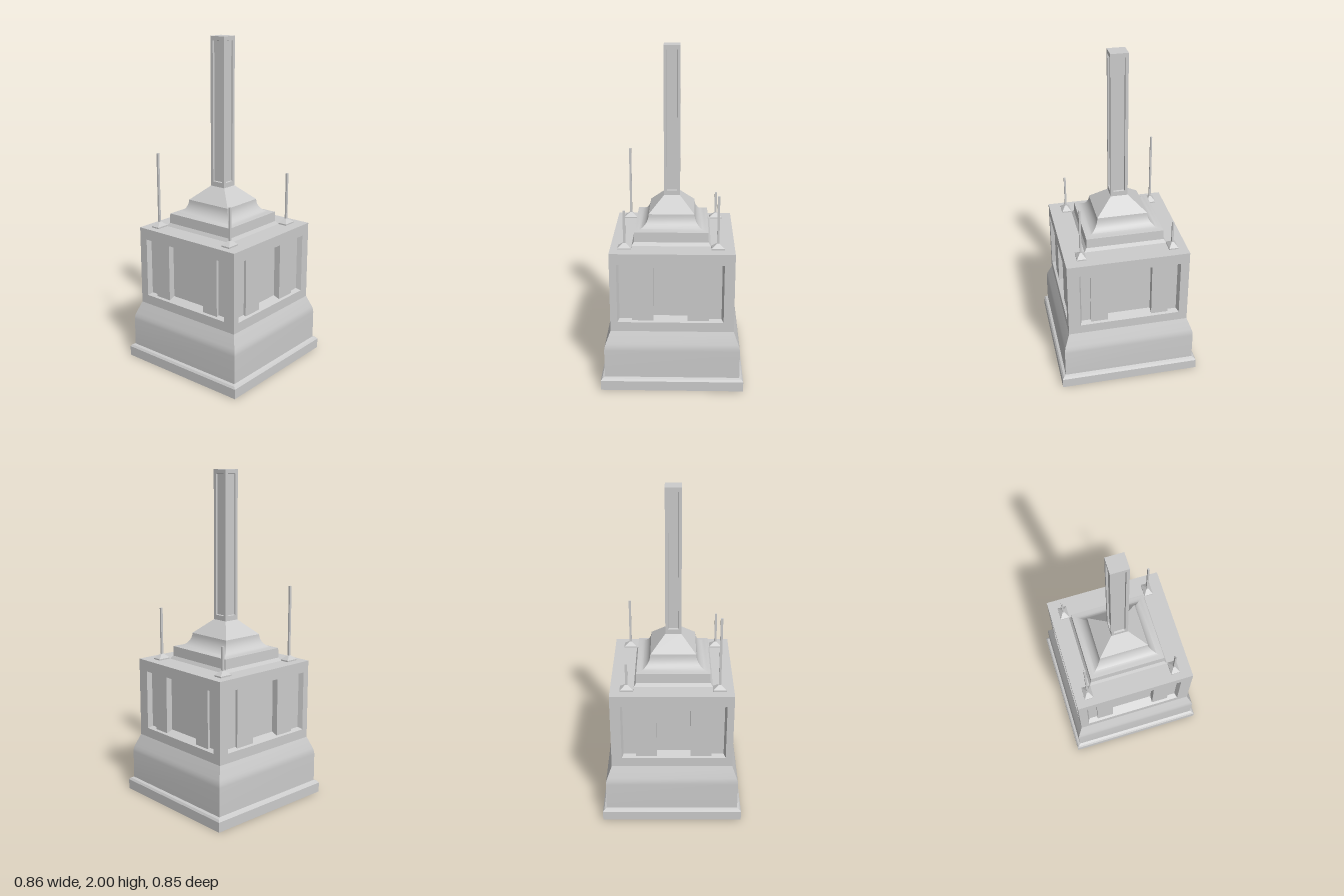
import * as THREE from 'three';
import { toCreasedNormals } from 'three/addons/utils/BufferGeometryUtils.js';

const material = new THREE.MeshStandardMaterial({ color: 0xcccccc });

function addMesh(parent, name, geometry) {
  const mesh = new THREE.Mesh(geometry, material);
  mesh.name = name;
  parent.add(mesh);
  return mesh;
}

// Skin over rectangular rings [halfX, halfZ, y]; rising rings face outward, falling rings face inward
function loft(rings) {
  const corners = [[1, 1], [1, -1], [-1, -1], [-1, 1]];
  const at = ([hx, hz, y], i) => [corners[i % 4][0] * hx, y, corners[i % 4][1] * hz];
  const pos = [];
  for (let r = 0; r < rings.length - 1; r++) {
    const lo = rings[r], hi = rings[r + 1];
    for (let i = 0; i < 4; i++) {
      const a = at(lo, i), b = at(lo, i + 1), c = at(hi, i + 1), d = at(hi, i);
      if (lo[0] > 0) pos.push(...a, ...b, ...c);
      if (hi[0] > 0) pos.push(...a, ...c, ...d);
      // A ring of size zero closes an end
    }
  }
  const g = new THREE.BufferGeometry();
  g.setAttribute('position', new THREE.Float32BufferAttribute(pos, 3));
  g.computeVertexNormals();
  return toCreasedNormals(g, 0.5);
}

function rectPath(Type, x0, x1, y0, y1) {
  const p = new Type();
  p.moveTo(x0, y0).lineTo(x1, y0).lineTo(x1, y1).lineTo(x0, y1).closePath();
  return p;
}

// Four walls, each with a recessed panel; returns the wall groups for further detail
function panelledBlock(name, o) {
  const block = new THREE.Group();
  block.name = name;
  const midY = (o.open[0] + o.open[1]) / 2, hy = (o.open[1] - o.open[0]) / 2;
  for (let i = 0; i < 4; i++) {
    const alongX = i % 2 === 0;
    const half = alongX ? o.hx : o.hz;
    const openHalf = alongX ? o.openX : o.openZ;
    const shift = [o.dx, -o.dz, -o.dx, o.dz][i];
    const wall = new THREE.Group();
    wall.name = `${name}Side${i + 1}`;
    wall.rotation.y = i * Math.PI / 2;

    const face = new THREE.Group();
    face.position.z = alongX ? o.hz : o.hx;
    wall.add(face);

    const shape = rectPath(THREE.Shape, -half, half, o.y0, o.y1);
    shape.holes.push(rectPath(THREE.Path, shift - openHalf, shift + openHalf, ...o.open));
    addMesh(face, 'frame', new THREE.ShapeGeometry(shape));

    const recess = loft([
      [openHalf, hy, 0],
      [openHalf - o.inset, hy - o.inset, -o.depth],
      [0, 0, -o.depth],
    ]).rotateX(Math.PI / 2);
    addMesh(face, 'recess', recess).position.set(shift, midY, 0);

    if (o.detail) o.detail(face, shift, alongX);
    block.add(wall);
  }
  const top = new THREE.PlaneGeometry(2 * o.hx, 2 * o.hz).rotateX(-Math.PI / 2);
  addMesh(block, 'top', top).position.y = o.y1;
  return block;
}

export function createModel() {
  const model = new THREE.Group();
  model.name = 'monument';

  // Plinth with a chamfered upper edge
  addMesh(model, 'plinth', loft([
    [0, 0, 0], [0.4285, 0.4265, 0], [0.4285, 0.4265, 0.06],
    [0.42, 0.418, 0.072], [0.405, 0.403, 0.078],
  ]));

  // Lower body sloping in to the main block
  addMesh(model, 'lowerBody', loft([
    [0.405, 0.403, 0.078], [0.405, 0.403, 0.25], [0.404, 0.401, 0.27],
    [0.398, 0.394, 0.292], [0.37, 0.3655, 0.365],
  ]));

  // Main block: deep central bay flanked by pilasters and shallower outer strips
  model.add(panelledBlock('mainBlock', {
    hx: 0.37, hz: 0.3655, y0: 0.365, y1: 0.855,
    open: [0.423, 0.787], openX: 0.307, openZ: 0.314, dx: -0.01, dz: 0.01,
    depth: 0.055, inset: 0.021,
    detail(face, shift, alongX) {
      const [inner, outer, edge] = alongX ? [0.135, 0.24, 0.303] : [0.101, 0.228, 0.31];
      for (const s of [-1, 1]) {
        const pilaster = addMesh(face, 'pilaster', new THREE.BoxGeometry(outer - inner, 0.352, 0.045));
        pilaster.position.set(shift + s * (inner + outer) / 2, 0.605, -0.0375);
        const strip = addMesh(face, 'outerStrip', new THREE.BoxGeometry(edge - outer, 0.345, 0.03));
        strip.position.set(shift + s * (outer + edge) / 2, 0.605, -0.045);
      }
    },
  }));

  // Stepped roof with a concave sweep up to the shaft
  const cx = -0.011, cz = 0.008;
  const roofRings = [
    [0.25, 0.234, 0.855], [0.237, 0.221, 0.875], [0.235, 0.219, 0.935],
  ];
  for (let i = 0; i <= 8; i++) {
    const t = (i / 8) * Math.PI / 2;
    const h = 0.222 - 0.07 * Math.sin(t);
    roofRings.push([h, h - 0.0155, 1.02 - 0.083 * Math.cos(t)]);
  }
  roofRings.push([0.052, 0.048, 1.108]);
  addMesh(model, 'roof', loft(roofRings)).position.set(cx, 0, cz);

  // Tall shaft with a sunken panel on each side
  const shaft = panelledBlock('shaft', {
    hx: 0.052, hz: 0.048, y0: 1.108, y1: 2,
    open: [1.138, 1.975], openX: 0.034, openZ: 0.031, dx: 0, dz: 0,
    depth: 0.011, inset: 0.002,
  });
  shaft.position.set(cx, 0, cz);
  model.add(shaft);

  // Corner rods of differing heights on small pyramid feet
  const rods = [[-0.286, 0.281, 1.315], [0.27, 0.281, 1.085], [0.27, -0.267, 1.175], [-0.286, -0.267, 1.025]];
  for (const [x, z, top] of rods) {
    const corner = new THREE.Group();
    corner.name = 'cornerRod';
    corner.position.set(x, 0, z);
    addMesh(corner, 'foot', loft([
      [0.028, 0.04, 0.855], [0.028, 0.04, 0.863], [0.006, 0.008, 0.888], [0, 0, 0.888],
    ]));
    const rod = addMesh(corner, 'rod', new THREE.BoxGeometry(0.011, top - 0.87, 0.014));
    rod.position.y = (top + 0.87) / 2;
    model.add(corner);
  }

  return model;
}
